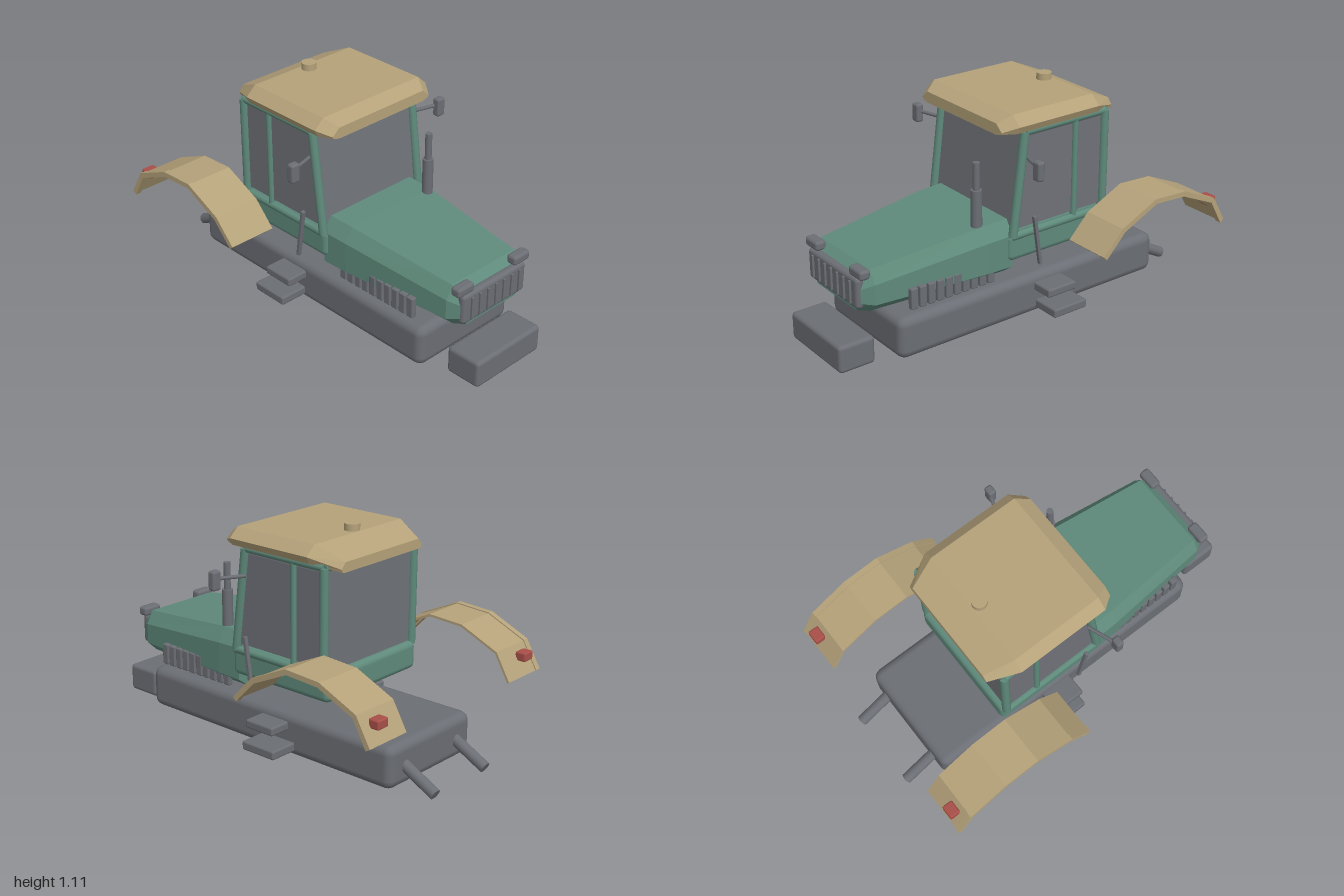
import * as THREE from 'three';
import { RoundedBoxGeometry } from 'three/addons/geometries/RoundedBoxGeometry.js';

const material = (name, color) => Object.assign(new THREE.MeshStandardMaterial({ color }), { name });

export function createModel() {
  const green = material('body green', 0x5f8a7b);
  const tan = material('roof tan', 0xb5a27a);
  const grey = material('dark grey', 0x6b6e74);
  const red = material('reflector red', 0xa84f49);
  const glass = material('glass grey', 0x6f7278);
  glass.side = THREE.DoubleSide;

  const model = new THREE.Group();
  model.name = 'tractor';

  const add = (name, geometry, mat) => {
    const mesh = new THREE.Mesh(geometry, mat);
    mesh.name = name;
    model.add(mesh);
    return mesh;
  };
  // Rounded block given by its x, y and z ranges
  const block = (name, [x0, x1], [y0, y1], [z0, z1], radius, mat) => {
    const mesh = add(name, new RoundedBoxGeometry(x1 - x0, y1 - y0, z1 - z0, 2, radius), mat);
    mesh.position.set((x0 + x1) / 2, (y0 + y1) / 2, (z0 + z1) / 2);
    return mesh;
  };
  // Round bar between two points
  const rod = (name, from, to, radius, mat, sides = 10) => {
    const a = new THREE.Vector3(...from), b = new THREE.Vector3(...to);
    const dir = b.clone().sub(a);
    const mesh = add(name, new THREE.CylinderGeometry(radius, radius, dir.length(), sides), mat);
    mesh.position.copy(a).add(b).multiplyScalar(0.5);
    mesh.quaternion.setFromUnitVectors(new THREE.Vector3(0, 1, 0), dir.normalize());
    return mesh;
  };
  // Faceted skin through sections listed front to back, each counterclockwise from the front
  const loft = (rings) => {
    const pos = [];
    const tri = (...corners) => corners.forEach((p) => pos.push(...p));
    const n = rings[0].length;
    for (let i = 0; i < rings.length - 1; i++) {
      for (let j = 0; j < n; j++) {
        const k = (j + 1) % n;
        const a = rings[i][j], b = rings[i][k], c = rings[i + 1][k], d = rings[i + 1][j];
        tri(a, d, c);
        tri(a, c, b);
      }
    }
    const first = rings[0], last = rings[rings.length - 1];
    for (let j = 1; j < n - 1; j++) {
      tri(first[0], first[j], first[j + 1]);
      tri(last[0], last[j + 1], last[j]);
    }
    const geometry = new THREE.BufferGeometry();
    geometry.setAttribute('position', new THREE.Float32BufferAttribute(pos, 3));
    geometry.computeVertexNormals();
    return geometry;
  };
  // Symmetric section from its right half, listed bottom to top
  const section = (z, half) => [
    ...half.map(([x, y]) => [x, y, z]),
    ...half.slice().reverse().map(([x, y]) => [-x, y, z]),
  ];

  // Chassis and front weight
  block('chassis', [-0.305, 0.305], [0.02, 0.23], [-0.82, 0.73], 0.045, grey);
  block('frontWeight', [-0.215, 0.215], [0.01, 0.15], [0.81, 1.0], 0.02, grey);

  // Tapered hood: z, top, bottom, half width, height of the shoulder below the top
  const hood = [
    [0.875, 0.44, 0.28, 0.21, 0.04],
    [0.82, 0.485, 0.27, 0.245, 0.065],
    [0.24, 0.545, 0.27, 0.305, 0.07],
    [0.1, 0.55, 0.27, 0.31, 0.07],
  ].map(([z, top, bottom, w, drop]) => section(z, [
    [w * 0.78, bottom], [w, bottom + 0.05], [w, top - drop], [w * 0.85, top],
  ]));
  add('hood', loft(hood), green);

  // Grille with upright bars
  block('grille', [-0.21, 0.21], [0.3, 0.455], [0.85, 0.895], 0.02, grey);
  for (let i = -3; i <= 3; i++) {
    block('grilleBar', [i * 0.053 - 0.006, i * 0.053 + 0.006], [0.32, 0.435], [0.88, 0.905], 0.003, grey);
  }

  // Exhaust stack
  rod('exhaustMuffler', [0.23, 0.5, 0.25], [0.23, 0.725, 0.25], 0.027, grey, 12);
  rod('exhaustPipe', [0.23, 0.7, 0.25], [0.23, 0.86, 0.25], 0.017, grey, 12);

  // Cab base, front and rear windows
  block('cabBase', [-0.325, 0.325], [0.35, 0.49], [-0.47, 0.13], 0.03, green);
  const pane = (name, corners) => {
    const geometry = new THREE.BufferGeometry();
    geometry.setAttribute('position', new THREE.Float32BufferAttribute(corners.flat(), 3));
    geometry.setIndex([0, 1, 2, 0, 2, 3]);
    geometry.computeVertexNormals();
    add(name, geometry, glass);
  };
  pane('windscreen', [[-0.3, 0.48, 0.1], [0.3, 0.48, 0.1], [0.3, 0.985, 0.04], [-0.3, 0.985, 0.04]]);
  pane('rearWindow', [[0.3, 0.48, -0.44], [-0.3, 0.48, -0.44], [-0.3, 0.985, -0.44], [0.3, 0.985, -0.44]]);
  for (const [y, z] of [[0.985, 0.04], [0.985, -0.44]]) {
    rod('crossRail', [-0.318, y, z], [0.318, y, z], 0.018, green);
  }

  // Roof with sloping front and rear
  const roof = [
    [0.167, [[0.27, 0.985], [0.305, 0.995], [0.31, 1.005], [0.27, 1.04]]],
    [0.1, [[0.29, 0.985], [0.34, 0.995], [0.357, 1.03], [0.305, 1.077]]],
    [-0.37, [[0.29, 0.985], [0.34, 0.995], [0.357, 1.03], [0.305, 1.077]]],
    [-0.513, [[0.26, 0.967], [0.28, 0.97], [0.285, 0.985], [0.26, 1.015]]],
  ].map(([z, half]) => section(z, half));
  add('roof', loft(roof), tan);
  rod('roofCap', [0, 1.06, -0.33], [0, 1.11, -0.33], 0.037, tan, 20);

  // Fender strip following an arched profile of (distance back, height)
  const arch = [[0.19, 0.4], [0.3, 0.515], [0.5, 0.608], [0.685, 0.598], [0.885, 0.51], [0.96, 0.38]]
    .map(([u, v]) => new THREE.Vector2(u, v));
  const strip = (x, width, up, down) => {
    const offset = (d) => arch.map((p, i) => {
      const t = arch[Math.min(i + 1, arch.length - 1)].clone().sub(arch[Math.max(i - 1, 0)]).normalize();
      return new THREE.Vector2(p.x - t.y * d, p.y + t.x * d);
    });
    const shape = new THREE.Shape([...offset(up), ...offset(-down).reverse()]);
    return new THREE.ExtrudeGeometry(shape, { depth: width, bevelEnabled: false })
      .rotateY(Math.PI / 2).translate(x - width / 2, 0, 0);
  };

  for (const s of [1, -1]) {
    const range = (a, b) => (s > 0 ? [a, b] : [-b, -a]);
    const x = s * 0.318;

    // Cab frame and side windows
    rod('frontPillar', [x, 0.475, 0.105], [x, 0.985, 0.04], 0.022, green);
    rod('doorPillar', [x, 0.475, -0.26], [x, 0.985, -0.26], 0.016, green);
    rod('rearPillar', [x, 0.475, -0.44], [x, 0.985, -0.44], 0.022, green);
    rod('upperRail', [x, 0.985, 0.04], [x, 0.985, -0.44], 0.018, green);
    rod('lowerRail', [x, 0.48, 0.11], [x, 0.48, -0.45], 0.02, green);
    pane('doorWindow', [[x, 0.513, 0.09], [x, 0.513, -0.25], [x, 0.962, -0.25], [x, 0.962, 0.035]]);
    pane('sideWindow', [[x, 0.513, -0.27], [x, 0.513, -0.43], [x, 0.962, -0.43], [x, 0.962, -0.27]]);

    // Headlight and hood vents
    block('headlight', range(0.135, 0.24), [0.453, 0.5], [0.835, 0.89], 0.015, grey);
    for (let i = 0; i < 10; i++) {
      const z = 0.64 - i * 0.048;
      block('hoodVent', range(0.262, 0.292), [0.26, 0.365], [z - 0.019, z + 0.019], 0.006, grey);
    }

    // Mirror and grab handle
    rod('mirrorArm', [s * 0.33, 0.858, 0.03], [s * 0.465, 0.865, 0.078], 0.009, grey, 8);
    block('mirror', range(0.45, 0.5), [0.81, 0.905], [0.065, 0.105], 0.012, grey);
    const handle = block('grabHandle', range(0.348, 0.368), [0.315, 0.575], [-0.018, 0], 0.004, grey);
    handle.rotation.x = 0.15;

    // Steps and rear lift arm
    block('upperStep', range(0.29, 0.415), [0.147, 0.19], [-0.21, -0.04], 0.01, grey);
    block('lowerStep', range(0.29, 0.45), [0.05, 0.095], [-0.25, -0.05], 0.01, grey);
    rod('liftArm', [s * 0.19, 0.135, -0.78], [s * 0.19, 0.027, -0.985], 0.028, grey, 12);

    // Rear fender with a thicker outer lip and a reflector
    add('fender', strip(s * 0.497, 0.225, 0.006, 0.006), tan);
    add('fenderLip', strip(s * 0.62, 0.03, 0.011, 0.015), tan);
    block('reflector', range(0.508, 0.577), [0.448, 0.492], [-0.965, -0.91], 0.008, red);
  }
  return model;
}
